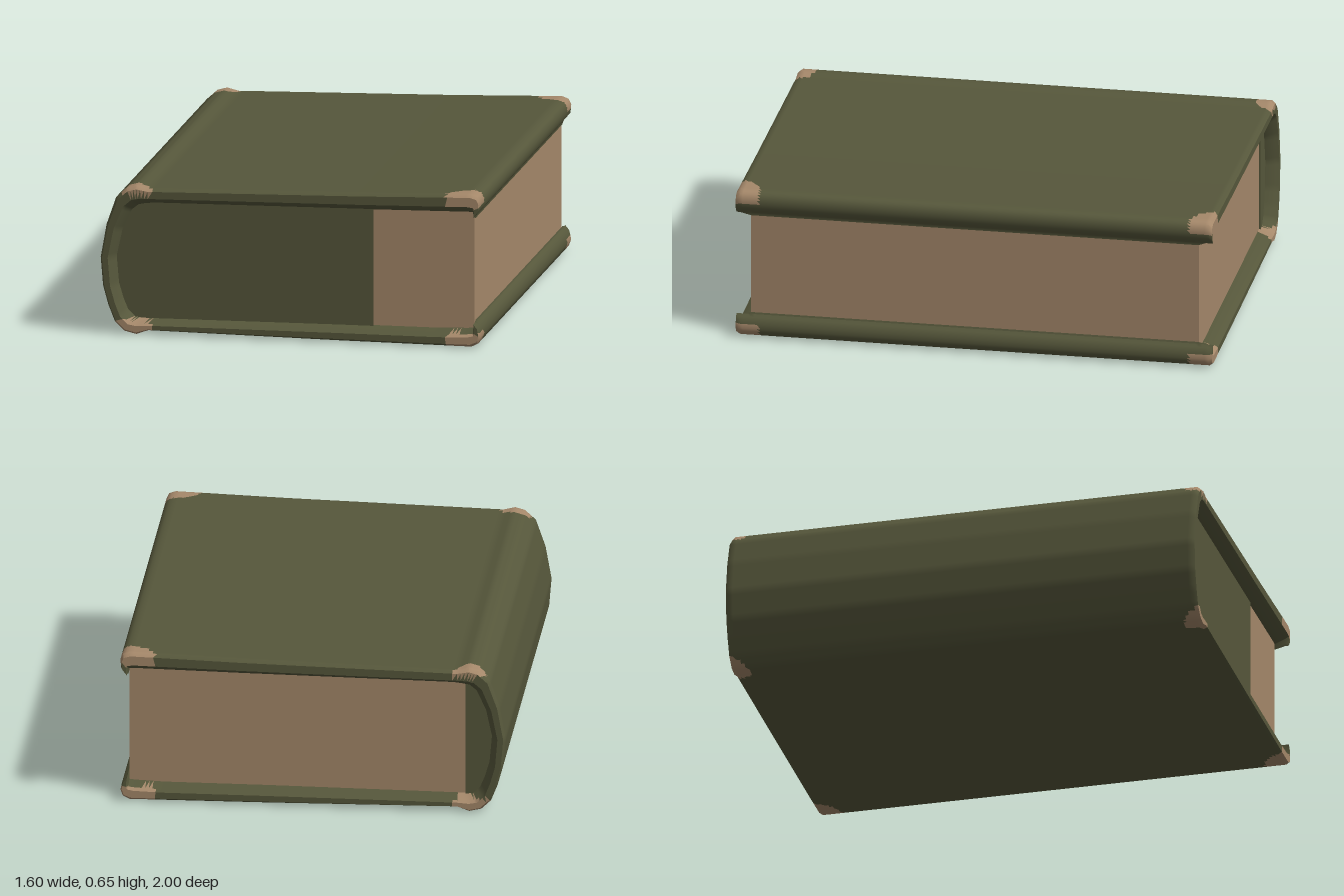
import * as THREE from 'three';
import { toCreasedNormals } from 'three/addons/utils/BufferGeometryUtils.js';

// Cover section from the top lip round the spine to the bottom lip:
// outer x, outer y, inner x, inner y
const SECTION = [
  [0.77, 0.55, 0.77, 0.55], [0.795, 0.58, 0.768, 0.56], [0.798, 0.615, 0.766, 0.575],
  [0.787, 0.638, 0.765, 0.58], [0.76, 0.648, 0.74, 0.582], [0.3, 0.634, 0.3, 0.575],
  [-0.6, 0.615, -0.6, 0.565], [-0.65, 0.627, -0.64, 0.56], [-0.69, 0.616, -0.665, 0.555],
  [-0.735, 0.575, -0.695, 0.53], [-0.775, 0.46, -0.735, 0.44], [-0.8, 0.32, -0.76, 0.32],
  [-0.79, 0.2, -0.75, 0.2], [-0.768, 0.12, -0.73, 0.13], [-0.74, 0.05, -0.71, 0.08],
  [-0.7, 0.012, -0.68, 0.05], [-0.65, 0.0, -0.65, 0.045], [-0.6, 0.018, -0.6, 0.045],
  [0.2, 0.008, 0.2, 0.05], [0.62, 0.005, 0.62, 0.05], [0.76, 0.004, 0.74, 0.055],
  [0.788, 0.018, 0.765, 0.058], [0.798, 0.045, 0.766, 0.065], [0.79, 0.08, 0.768, 0.085],
  [0.77, 0.1, 0.77, 0.1],
];
const PAGE_END = 0.94;

// Subdivide the section into short steps
function fineSection() {
  const out = [];
  for (let i = 0; i < SECTION.length - 1; i++) {
    const a = SECTION[i], b = SECTION[i + 1];
    const n = Math.ceil(Math.hypot(b[0] - a[0], b[1] - a[1]) / 0.02);
    for (let k = 0; k < n; k++) out.push(a.map((v, j) => v + (b[j] - v) * k / n));
  }
  out.push(SECTION[SECTION.length - 1]);
  return out;
}

// Worn spots at the fore-edge corners and at the ends of the spine ridges
function isWorn(x, y, z) {
  if (y > 0.06 && y < 0.592) return false;
  const dz = 1 - Math.abs(z);
  return Math.hypot((x - 0.79) / 0.135, dz / 0.1) < 1 ||
         Math.hypot((x + 0.66) / 0.075, dz / 0.075) < 1;
}

// Cover: loft from the inner front rim, over the outside, to the inner back rim
function coverGeometry() {
  const section = fineSection(), n = section.length;
  // z, and blend from inner (0) to outer (1); -1 is the narrower rim at the pages
  const front = [[PAGE_END, -1], [0.985, 0], [1, 0.2], [1, 0.8], [0.985, 1]];
  for (let z = 0.97; z > 0.87; z -= 0.015) front.push([z, 1]);
  const rings = [...front, ...front.slice().reverse().map(([z, t]) => [-z, t])];
  const pos = [], sound = [], worn = [];
  for (const [z, t] of rings) {
    section.forEach(([px, py, qx, qy], i) => {
      if (t < 0 && i > 0 && i < n - 1) {
        pos.push(qx < 0 ? qx * 0.97 : qx, 0.315 + (qy - 0.315) * 0.93, z);
      } else {
        const s = Math.max(t, 0);
        pos.push(qx + (px - qx) * s, qy + (py - qy) * s, z);
      }
    });
  }
  const tri = (...ids) => {
    const c = [0, 1, 2].map(k => ids.reduce((sum, id) => sum + pos[id * 3 + k], 0) / 3);
    (isWorn(...c) ? worn : sound).push(...ids);
  };
  for (let r = 0; r < rings.length; r++) {
    const r2 = (r + 1) % rings.length;
    for (let i = 0; i < n - 1; i++) {
      const a = r * n + i, b = r2 * n + i;
      tri(a, b, a + 1);
      tri(a + 1, b, b + 1);
    }
  }
  const g = new THREE.BufferGeometry();
  g.setAttribute('position', new THREE.Float32BufferAttribute(pos, 3));
  g.setIndex([...sound, ...worn]);
  g.addGroup(0, sound.length, 0);
  g.addGroup(sound.length, worn.length, 1);
  return toCreasedNormals(g, 0.8);
}

// Slab filling the inside of the cover from the spine to x = cut
function pageSlab(cut, z0, z1) {
  const pts = [new THREE.Vector2(cut, 0.58)];
  for (const [, , x, y] of SECTION) if (x < cut) pts.push(new THREE.Vector2(x, y));
  pts.push(new THREE.Vector2(cut, 0.055));
  const g = new THREE.ExtrudeGeometry(new THREE.Shape(pts), { depth: z1 - z0, bevelEnabled: false });
  return g.translate(0, 0, z0);
}

export function createModel() {
  const green = new THREE.MeshStandardMaterial({ color: 0x56573b });
  green.name = 'olive cloth';
  const tan = new THREE.MeshStandardMaterial({ color: 0xa5886a });
  tan.name = 'tan paper';

  const book = new THREE.Group();
  book.name = 'book';
  const add = (name, geometry, material) => {
    const mesh = new THREE.Mesh(geometry, material);
    mesh.name = name;
    book.add(mesh);
  };

  add('cover', coverGeometry(), [green, tan]);
  add('pages', pageSlab(0.765, -PAGE_END, PAGE_END), tan);
  // Stained ends of the page block
  add('frontPageStain', pageSlab(0.34, PAGE_END, PAGE_END + 0.006), green);
  add('backPageStain', pageSlab(-0.63, -PAGE_END - 0.006, -PAGE_END), green);
  return book;
}
